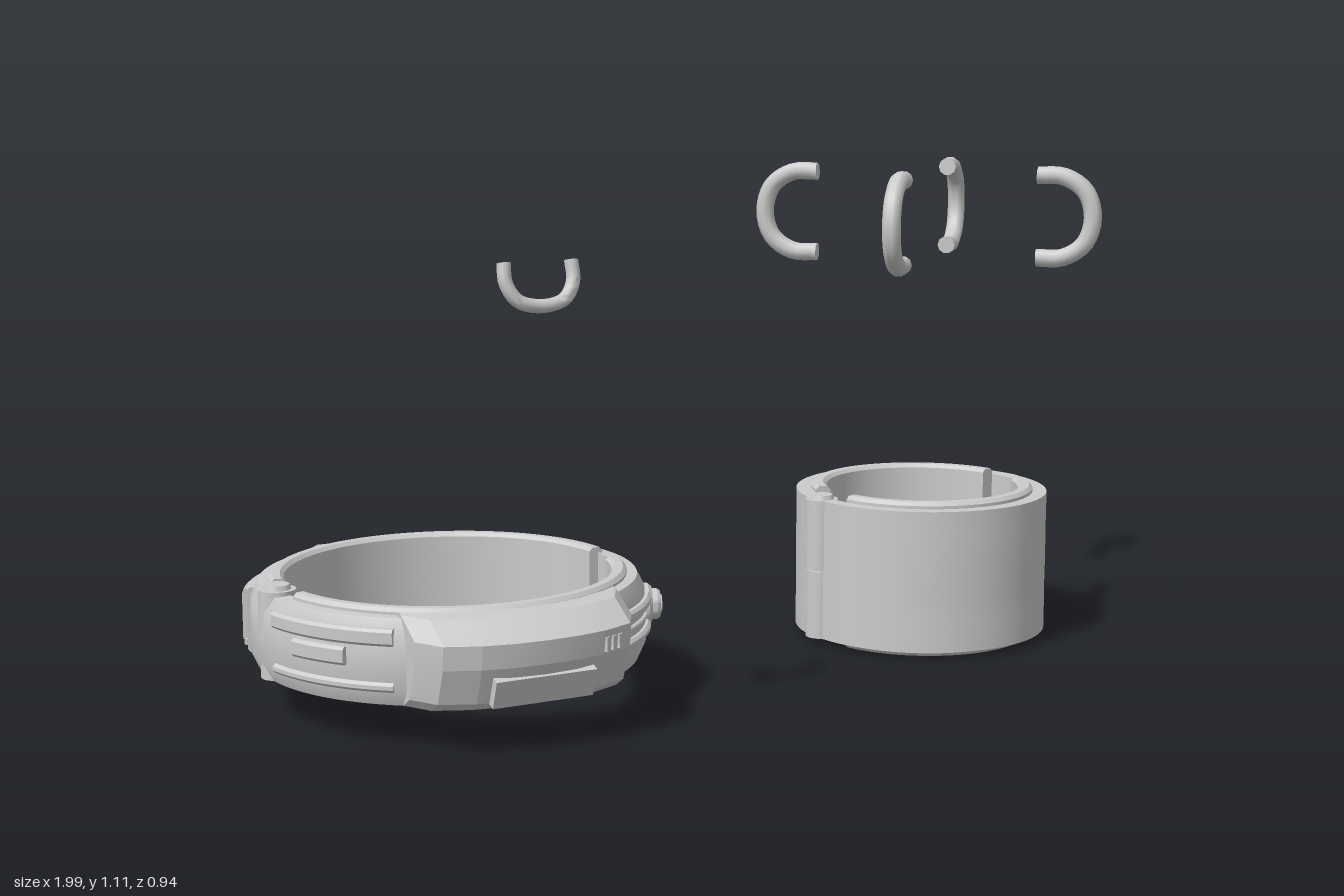
import * as THREE from 'three';
import { toCreasedNormals } from 'three/addons/utils/BufferGeometryUtils.js';

const material = new THREE.MeshStandardMaterial({ color: 0xcccccc });
const RAD = Math.PI / 180;

function add(parent, name, geometry) {
  const mesh = new THREE.Mesh(geometry, material);
  mesh.name = name;
  parent.add(mesh);
  return mesh;
}

// Solid skin over equal closed sections ([x, y, z] points), with strip caps.
function loft(sections, crease = 0.5) {
  const n = sections[0].length, last = sections.length - 1;
  const tris = [];
  const quad = (a, b, c, d) => tris.push([a, b, c], [a, c, d]);
  for (let j = 0; j < last; j++) {
    const p = sections[j], q = sections[j + 1];
    for (let i = 0; i < n; i++) {
      const k = (i + 1) % n;
      quad(p[i], p[k], q[k], q[i]);
    }
  }
  for (let i = 0; i < n / 2 - 1; i++) {
    const s = sections[0], e = sections[last];
    quad(s[i], s[n - 1 - i], s[n - 2 - i], s[i + 1]);
    quad(e[i], e[i + 1], e[n - 2 - i], e[n - 1 - i]);
  }
  // Turn the skin outward if its signed volume is negative
  let volume = 0;
  const v = [0, 1, 2].map(() => new THREE.Vector3());
  for (const t of tris) {
    t.forEach((p, i) => v[i].fromArray(p));
    volume += v[0].dot(v[1].cross(v[2]));
  }
  if (volume < 0) tris.forEach(t => t.reverse());
  const g = new THREE.BufferGeometry();
  g.setAttribute('position', new THREE.Float32BufferAttribute(tris.flat(2), 3));
  return toCreasedNormals(g, crease);
}

// Sweeps a section of [radius, y] around the axis; points may have own angles.
function sweep(section, a0, a1) {
  const steps = Math.max(3, Math.ceil(Math.abs(a1 - a0) / 3));
  const sections = [];
  for (let j = 0; j <= steps; j++) {
    sections.push(section.map(([r, y, s = a0, e = a1]) => {
      const a = (s + (e - s) * j / steps) * RAD;
      return [r * Math.cos(a), y, r * Math.sin(a)];
    }));
  }
  return loft(sections);
}

// Curved plate with bevelled outer edges
function plate(r0, r1, y0, y1, a0, a1, b = 0.006) {
  return sweep([[r0, y0], [r1 - b, y0], [r1, y0 + b], [r1, y1 - b], [r1 - b, y1], [r0, y1]], a0, a1);
}

// Liner half with bevelled rims
function liner(r0, r1, y0, y1, a0, a1) {
  const b = 0.008;
  return sweep([[r0 + b, y0], [r1 - b, y0], [r1, y0 + b], [r1, y1 - b],
    [r1 - b, y1], [r0 + b, y1], [r0, y1 - b], [r0, y0 + b]], a0, a1);
}

// Places a mesh on the rim with its local +z pointing outward.
function onRim(mesh, angle, r, y) {
  mesh.position.set(r * Math.cos(angle * RAD), y, r * Math.sin(angle * RAD));
  mesh.rotation.y = Math.PI / 2 - angle * RAD;
  return mesh;
}

function knob(scale) {
  const profile = [[0.07, -0.012], [0.07, 0.012], [0.06, 0.024], [0.051, 0.024], [0.051, 0.042],
    [0.045, 0.052], [0.036, 0.052], [0.036, 0.046], [0.031, 0.046], [0.031, 0.058], [0, 0.06]];
  const g = new THREE.LatheGeometry(profile.map(p => new THREE.Vector2(p[0] * scale, p[1] * scale)), 28);
  g.rotateX(Math.PI / 2);
  return toCreasedNormals(g, 0.5);
}

// Bent bar with closed ends
function bar(points, radius) {
  const curve = new THREE.CatmullRomCurve3(points.map(p => new THREE.Vector3(...p)), false, 'centripetal');
  const steps = 24, frames = curve.computeFrenetFrames(steps), sections = [];
  for (let i = 0; i <= steps; i++) {
    const c = curve.getPointAt(i / steps);
    sections.push([...Array(10).keys()].map(k => {
      const a = k / 10 * Math.PI * 2;
      return c.clone().addScaledVector(frames.normals[i], radius * Math.cos(a))
        .addScaledVector(frames.binormals[i], radius * Math.sin(a)).toArray();
    }));
  }
  return loft(sections, 0.9);
}

function hinge(parent, x, r, y0, ySplit, y1) {
  [[y0, ySplit - 0.003, r * 0.94], [ySplit, y1, r]].forEach(([a, b, radius], i) => {
    const g = toCreasedNormals(new THREE.CylinderGeometry(radius, radius, b - a, 24), 0.5);
    add(parent, i ? 'hingeUpper' : 'hingeLower', g).position.set(x, (a + b) / 2, 0);
  });
  const pin = toCreasedNormals(new THREE.CylinderGeometry(r * 0.65, r * 0.75, 0.012, 20), 0.5);
  add(parent, 'hingePin', pin).position.set(x, y1 + 0.004, 0);
}

function makeCuff() {
  const cuff = new THREE.Group();
  cuff.name = 'cuff';
  // Shell halves meet at a stepped clasp seam
  const seam = [[0.018, -4], [0.09, -4], [0.14, 7], [0.24, 7], [0.29, -4], [0.345, -4]];
  const half = (r, from, to) => {
    const outer = seam.map(([y, a]) => [r, y, from ?? a, to ?? a]);
    const inner = seam.map(([y, a]) => [0.26, y, from ?? a, to ?? a]).reverse();
    return sweep([...outer, ...inner], 0, 180);
  };
  add(cuff, 'shellFront', half(0.294, null, 180));
  add(cuff, 'shellBack', half(0.297, -180, null));
  for (const [name, a] of [['linerFront', 15], ['linerBack', 195]]) {
    add(cuff, name, liner(0.226, 0.261, 0, 0.36, a, a + 150));
  }
  hinge(cuff, -0.277, 0.038, 0.018, 0.18, 0.345);
  onRim(add(cuff, 'knob', knob(1)), -15, 0.293, 0.18);
  // Four loops hovering above, on the diagonals
  const path = [[0.26, 1.09], [0.32, 1.088], [0.37, 1.055], [0.388, 0.995],
    [0.37, 0.935], [0.32, 0.902], [0.26, 0.9]].map(([r, y]) => [0, y, r]);
  for (const a of [45, 135, 225, 315]) onRim(add(cuff, 'loop', bar(path, 0.021)), a, 0, 0);
  return cuff;
}

function makeCollar() {
  const collar = new THREE.Group();
  collar.name = 'collar';
  // Bevelled ring and split liner
  add(collar, 'ring', sweep([[0.372, 0.09], [0.408, 0.09], [0.424, 0.125], [0.421, 0.235],
    [0.405, 0.268], [0.372, 0.27]], 0, 360));
  add(collar, 'linerFront', liner(0.35, 0.383, 0.08, 0.283, 11, 169));
  add(collar, 'linerBack', liner(0.35, 0.383, 0.08, 0.283, 190, 356));
  hinge(collar, -0.385, 0.04, 0.09, 0.17, 0.278);

  // Housings lofted across x; the inner edge follows the ring
  const housing = (stations, section) => loft(stations.map(([x, f]) =>
    section(Math.sqrt(0.385 ** 2 - x * x), f).map(([z, y]) => [x, y, z])), 0.2);
  const side = [[0.24, 0.39], [0.205, 0.452], [0.135, 0.483], [0.07, 0.496]];
  const frontStations = [...side.map(([x, f]) => [-x, f]), [0, 0.5], ...[...side].reverse()];
  add(collar, 'frontHousing', housing(frontStations, (b, f) => [[b, 0.09], [f - 0.06, 0.09],
    [f - 0.028, 0.11], [f, 0.185], [f + 0.005, 0.235], [f - 0.065, 0.275], [b + 0.01, 0.278], [b, 0.27]]));
  add(collar, 'backHousing', housing([[-0.16, -0.426], [0.16, -0.426]], (b, f) => [[-b, 0.09],
    [f + 0.04, 0.09], [f, 0.13], [f + 0.006, 0.26], [f + 0.045, 0.275], [-b, 0.275]]));
  add(collar, 'backPanel', new THREE.BoxGeometry(0.26, 0.1, 0.012)).position.set(0, 0.195, -0.426);

  // Front hatch and small slots
  const hatch = add(collar, 'frontHatch', new THREE.BoxGeometry(0.22, 0.062, 0.03));
  hatch.position.set(0, 0.136, 0.473);
  hatch.rotation.x = 0.34;
  for (let i = 0; i < 3; i++) {
    const slot = add(collar, 'slot', new THREE.BoxGeometry(0.011, 0.03, 0.014));
    slot.position.set(0.138 + i * 0.018, 0.205, 0.482 - i * 0.008);
    slot.rotation.y = 0.42;
  }

  // Latch rails and knob at the front left
  add(collar, 'railTop', plate(0.4, 0.435, 0.203, 0.226, 27, 56));
  add(collar, 'railMiddle', plate(0.4, 0.43, 0.178, 0.19, 32, 52, 0.003));
  add(collar, 'railBottom', plate(0.4, 0.435, 0.145, 0.165, 27, 56));
  onRim(add(collar, 'knob', knob(0.66)), 21, 0.422, 0.188);

  // Plate, hatch and studs at the back left
  add(collar, 'sidePlate', plate(0.4, 0.429, 0.11, 0.25, -55, 0));
  add(collar, 'sideHatch', plate(0.4, 0.435, 0.105, 0.175, -54, -41, 0.003));
  for (const [a, y] of [[-33, 0.165], [-30.5, 0.145], [-28, 0.165]]) {
    const g = new THREE.CylinderGeometry(0.011, 0.011, 0.014, 6).rotateX(Math.PI / 2);
    onRim(add(collar, 'stud', g.toNonIndexed()), a, 0.43, y);
  }

  // Finned vent at the back right
  add(collar, 'ventPlate', plate(0.4, 0.429, 0.11, 0.252, 200, 233));
  for (const y of [0.122, 0.232]) add(collar, 'ventFrame', plate(0.4, 0.437, y, y + 0.014, 202, 231, 0.003));
  for (let i = 0; i < 6; i++) {
    onRim(add(collar, 'fin', new THREE.BoxGeometry(0.018, 0.1, 0.02)), 204 + i * 5, 0.43, 0.184);
  }

  // Stepped latch at the front right
  add(collar, 'latchPlate', plate(0.4, 0.433, 0.215, 0.25, 128, 170));
  add(collar, 'latchBlock', plate(0.4, 0.436, 0.17, 0.208, 142, 160));
  add(collar, 'latchRail', plate(0.4, 0.431, 0.12, 0.14, 128, 170));

  // Small loop hovering above the front, tilted
  const loop = add(collar, 'frontLoop', bar([[-0.072, 0.1, 0], [-0.072, 0.06, 0], [-0.052, 0.026, 0],
    [-0.02, 0.014, 0], [0.02, 0.014, 0], [0.052, 0.026, 0], [0.072, 0.06, 0], [0.072, 0.1, 0]], 0.014));
  loop.position.set(0, 0.885, 0.493);
  loop.rotation.x = -0.24;
  return collar;
}

export function createModel() {
  const model = new THREE.Group();
  model.name = 'collarAndCuff';
  const collar = makeCollar(), cuff = makeCuff();
  collar.position.set(-0.56, 0, -0.038);
  cuff.position.set(0.655, 0, -0.036);
  model.add(collar, cuff);
  return model;
}
